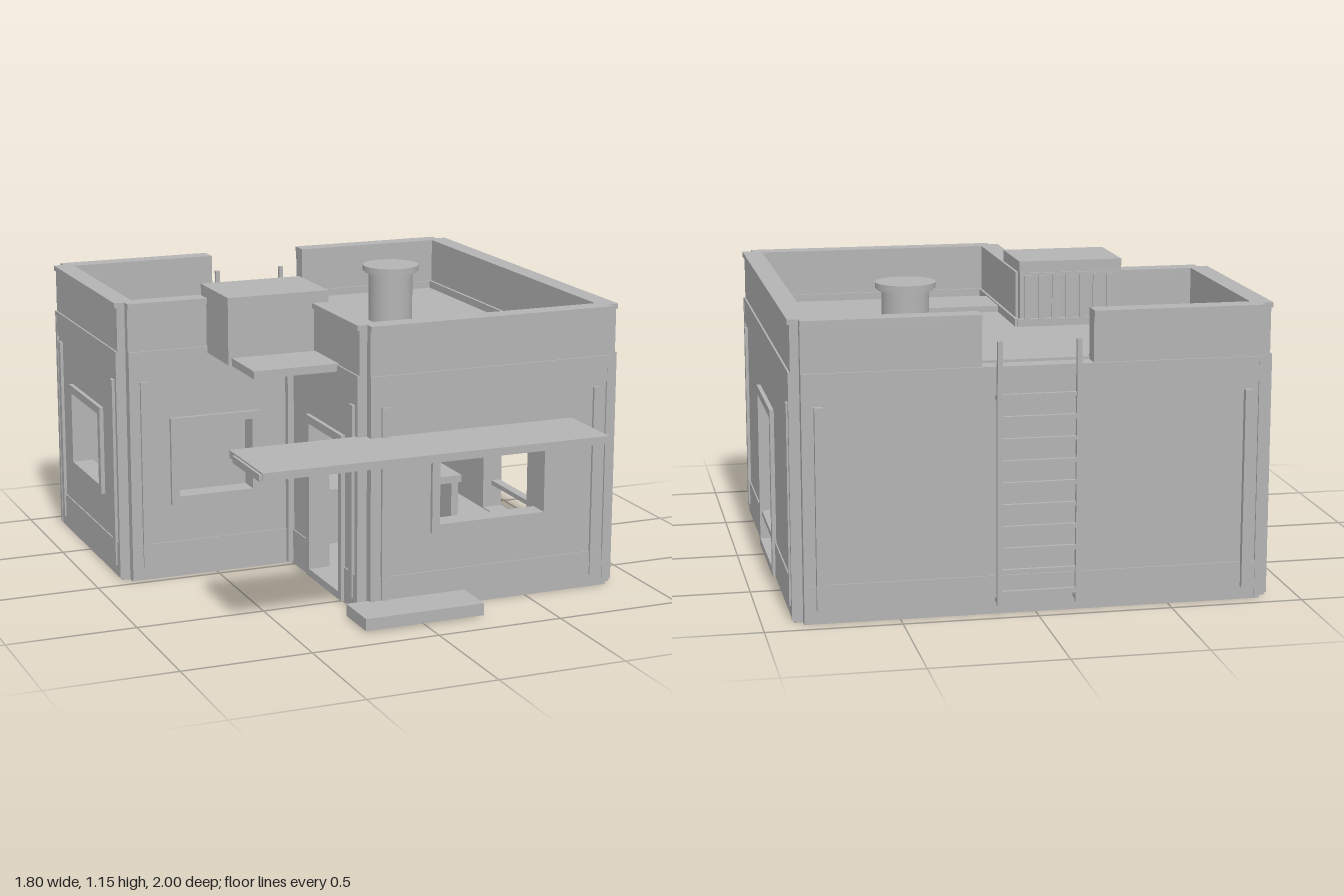
import * as THREE from 'three';

const plaster = new THREE.MeshStandardMaterial({ color: 0xb3b3b3 });
plaster.name = 'grey plaster';

// Box from min/max corners
function box(parent, name, x0, x1, y0, y1, z0, z1) {
  const m = new THREE.Mesh(new THREE.BoxGeometry(x1 - x0, y1 - y0, z1 - z0), plaster);
  m.position.set((x0 + x1) / 2, (y0 + y1) / 2, (z0 + z1) / 2);
  m.name = name;
  parent.add(m);
  return m;
}

function extrude(parent, name, shape, depth, z) {
  const m = new THREE.Mesh(new THREE.ExtrudeGeometry(shape, { depth, bevelEnabled: false }), plaster);
  m.position.z = z;
  m.name = name;
  parent.add(m);
  return m;
}

const rectPoints = (u0, u1, v0, v1) => [[u0, v0], [u1, v0], [u1, v1], [u0, v1]].map(p => new THREE.Vector2(...p));

const T = 0.07;      // wall thickness
const TOP = 1.09;    // top of parapet
const ROOF = 0.9;    // roof surface

// Wall in its own plane: u runs along it, local z = 0 is the outer face
function wall(parent, name, x, z, angle, u0, u1, { hole, gap, sillBar, stripDepth = 0.012, ends = [1, 1] } = {}) {
  const g = new THREE.Group();
  g.name = name;
  g.position.set(x, 0, z);
  g.rotation.y = angle;
  parent.add(g);

  const outline = gap
    ? [[u0, 0], [u1, 0], [u1, TOP], [gap[1], TOP], [gap[1], 0.92], [gap[0], 0.92], [gap[0], TOP], [u0, TOP]]
        .map(p => new THREE.Vector2(...p))
    : rectPoints(u0, u1, 0, TOP);
  const shape = new THREE.Shape(outline);
  if (hole) shape.holes.push(new THREE.Path(rectPoints(...hole)));
  extrude(g, 'wallPanel', shape, T, -T);

  // Upper band, skirting and parapet coping
  box(g, 'upperBand', u0, u1, 0.82, 0.92, -0.01, 0.007);
  const door = hole && hole[2] < 0.1;
  const skirts = door ? [[u0, hole[0] - 0.03], [hole[1] + 0.03, u1]] : [[u0, u1]];
  for (const [a, b] of skirts) box(g, 'skirting', a, b, 0.008, 0.145, -0.01, 0.005);
  const caps = gap ? [[u0, gap[0]], [gap[1], u1]] : [[u0, u1]];
  for (const [a, b] of caps) box(g, 'coping', a, b, TOP, 1.11, -T, 0.008);

  // Upright strips at the wall ends
  if (ends[0]) {
    box(g, 'edgePost', u0, u0 + 0.02, 0.01, 0.92, -0.01, 0.008);
    box(g, 'edgeStrip', u0 + 0.045, u0 + 0.075, 0.05, 0.8, -0.01, stripDepth);
  }
  if (ends[1]) {
    box(g, 'edgePost', u1 - 0.02, u1, 0.01, 0.92, -0.01, 0.008);
    box(g, 'edgeStrip', u1 - 0.075, u1 - 0.045, 0.05, 0.8, -0.01, stripDepth);
  }

  // Frame around the opening
  if (hole) {
    const [a, b, c, d] = hole;
    const f = 0.032;
    const frame = new THREE.Shape(rectPoints(a - f, b + f, door ? 0.01 : c - f, d + f));
    frame.holes.push(new THREE.Path(rectPoints(a, b, c, d)));
    extrude(g, door ? 'doorFrame' : 'windowFrame', frame, 0.036, -0.02);
    if (sillBar) box(g, 'doorBar', a, b, 0.135, 0.155, -0.03, 0.008);
  }
  return g;
}

// L-shaped slab lying between two heights
function slab(parent, name, y0, y1) {
  const pts = [[-0.85, 0.91], [0.85, 0.91], [0.85, -0.67], [-0.15, -0.67], [-0.15, 0.05], [-0.85, 0.05]];
  const shape = new THREE.Shape(pts.map(p => new THREE.Vector2(...p)));
  const m = extrude(parent, name, shape, y1 - y0, 0);
  m.rotation.x = -Math.PI / 2;
  m.position.y = y0;
}

export function createModel() {
  const model = new THREE.Group();
  model.name = 'building';
  const H = Math.PI / 2;

  slab(model, 'floor', 0, 0.035);
  slab(model, 'roof', 0.86, ROOF);

  // Six walls of the L-shaped plan
  wall(model, 'backWall', 0, -0.943, Math.PI, -0.85, 0.85, { gap: [-0.2, 0.21], stripDepth: 0.024 });
  wall(model, 'leftWall', 0.882, 0, H, -0.67, 0.91, { hole: [-0.09, 0.32, 0.04, 0.63], sillBar: true });
  wall(model, 'wingFrontWall', 0, 0.7, 0, -0.15, 0.85, { hole: [0.13, 0.567, 0.33, 0.615] });
  wall(model, 'wingSideWall', -0.18, 0, -H, -0.06, 0.67, { hole: [0.2, 0.5, 0.04, 0.63], ends: [0, 1] });
  wall(model, 'entryWall', 0, -0.028, 0, -0.85, -0.12, { hole: [-0.655, -0.35, 0.33, 0.615], ends: [1, 0] });
  wall(model, 'rightWall', -0.882, 0, -H, -0.91, -0.06, { hole: [-0.67, -0.302, 0.33, 0.62] });
  box(model, 'innerCornerPost', -0.205, -0.17, 0.01, 0.92, -0.035, 0.0);

  // Curb along the inside of the parapet
  const curb = [[-0.82, 0.82, -0.88, -0.865], [0.8, 0.815, -0.88, 0.64], [-0.12, 0.82, 0.62, 0.636],
    [-0.115, -0.1, -0.1, 0.64], [-0.82, -0.11, -0.112, -0.097], [-0.815, -0.8, -0.88, -0.1]];
  for (const [x0, x1, z0, z1] of curb) box(model, 'roofCurb', x0, x1, ROOF - 0.01, 0.93, z0, z1);

  // Long canopy over the front
  const canopy = new THREE.Group();
  canopy.name = 'frontCanopy';
  box(canopy, 'canopySlab', -0.685, 0.685, 0.658, 0.688, 0.655, 1.0);
  box(canopy, 'canopyLip', -0.695, 0.695, 0.656, 0.682, 0.715, 0.992);
  model.add(canopy);

  // Side canopy and front step
  box(model, 'sideCanopy', -0.52, 0.24, 0.895, 0.925, 0.23, 0.47);
  box(model, 'frontStep', -0.24, 0.24, 0.008, 0.055, 0.69, 0.88);

  // Rooftop unit with a slatted rear grille
  const unit = new THREE.Group();
  unit.name = 'rooftopUnit';
  box(unit, 'unitBody', -0.53, -0.12, 0.895, 1.155, -0.09, 0.22);
  for (let i = 0; i < 7; i++) {
    const x = -0.5 + i * 0.055;
    box(unit, 'grilleSlat', x, x + 0.032, 0.92, 1.1, -0.106, -0.085);
  }
  model.add(unit);

  // Roof vent
  const vent = new THREE.Group();
  vent.name = 'roofVent';
  for (const [name, r, y0, y1] of [['ventPipe', 0.09, 0.89, 1.105], ['ventCollar', 0.105, 1.1, 1.11], ['ventLid', 0.115, 1.108, 1.13]]) {
    const m = new THREE.Mesh(new THREE.CylinderGeometry(r, r, y1 - y0, 32), plaster);
    m.position.set(0.37, (y0 + y1) / 2, -0.312);
    m.name = name;
    vent.add(m);
  }
  model.add(vent);

  // Ladder on the back
  const ladder = new THREE.Group();
  ladder.name = 'ladder';
  for (const s of [-1, 1]) {
    const x = s * 0.145;
    box(ladder, 'ladderRail', x - 0.009, x + 0.009, 0.045, 1.02, -1.0, -0.982);
    for (const y of [0.06, 0.81]) box(ladder, 'ladderBracket', x - 0.008, x + 0.008, y - 0.008, y + 0.008, -0.99, -0.93);
  }
  for (let i = 0; i < 10; i++) {
    const y = 0.09 + i * 0.081;
    box(ladder, 'ladderRung', -0.14, 0.14, y - 0.008, y + 0.008, -0.998, -0.984);
  }
  model.add(ladder);

  // Interior: partition, counter, shelves and a small box
  const interior = new THREE.Group();
  interior.name = 'interior';
  box(interior, 'partition', -0.12, 0.325, 0.03, 0.87, -0.13, -0.095);
  box(interior, 'counterTop', -0.12, 0.5, 0.3, 0.33, -0.09, 0.12);
  box(interior, 'counterEnd', 0.46, 0.49, 0.03, 0.3, -0.08, 0.11);
  for (const y of [0.49, 0.6]) box(interior, 'shelf', -0.11, 0.29, y, y + 0.015, -0.1, 0.0);
  box(interior, 'smallBox', 0.39, 0.45, 0.33, 0.395, -0.06, 0.0);
  model.add(interior);

  return model;
}
